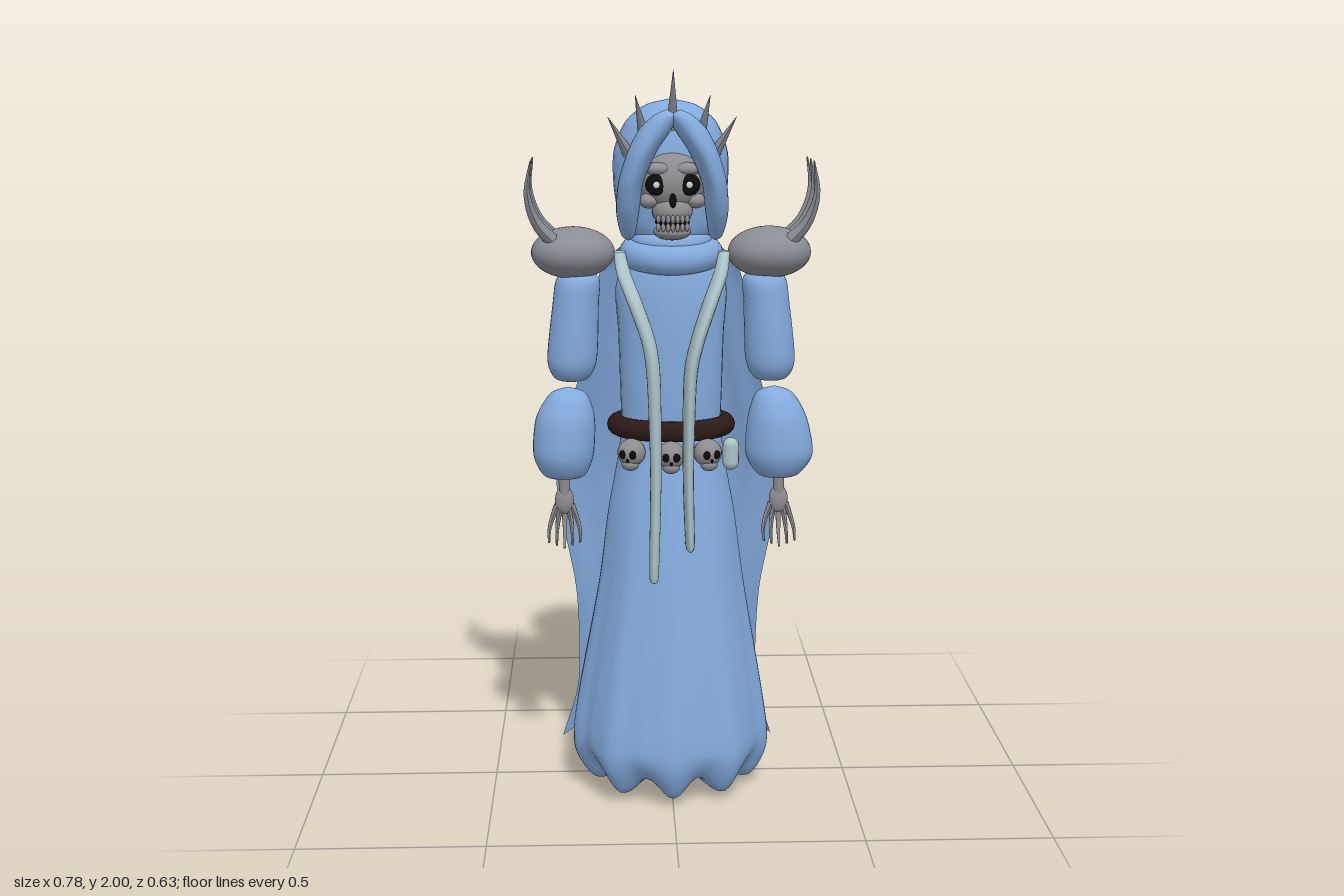
import * as THREE from 'three';

const V = (x, y, z) => new THREE.Vector3(x, y, z);
const mat = (name, color) => {
  const m = new THREE.MeshStandardMaterial({ color, side: THREE.DoubleSide });
  m.name = name;
  return m;
};

export function createModel() {
  const root = new THREE.Group();
  root.name = 'hoodedSkeletonMage';
  const cloth = mat('blueCloth', 0x84abde);
  const horn = mat('greyHorn', 0x8a8d95);
  const bone = mat('greyBone', 0x8f8d91);
  const leather = mat('darkLeather', 0x2c1b17);
  const pale = mat('paleTrim', 0xabc3c9);
  const black = mat('black', 0x0d0b0b);
  const glint = mat('eyeGlint', 0xcfd2d4);

  const add = (name, geo, m, parent = root) => {
    const mesh = new THREE.Mesh(geo, m);
    mesh.name = name;
    parent.add(mesh);
    return mesh;
  };

  const ball = (name, m, p, r, parent = root, seg = 24) => {
    const mesh = add(name, new THREE.SphereGeometry(1, seg, Math.ceil(seg * 0.67)), m, parent);
    mesh.position.set(...p);
    mesh.scale.set(...r);
    return mesh;
  };

  // Smooth body through elliptical rings [y, rx, rz, cx, cz], listed from the bottom up
  const loft = (name, m, rings, warp = null, seg = 32, steps = 6) => {
    const size = new THREE.CatmullRomCurve3(rings.map(r => V(r[1], r[0], r[2])), false, 'catmullrom', 0.4);
    const mid = new THREE.CatmullRomCurve3(rings.map(r => V(r[3], 0, r[4])), false, 'catmullrom', 0.4);
    const rows = (rings.length - 1) * steps, pos = [], idx = [];
    for (let j = 0; j <= rows; j++) {
      const s = size.getPoint(j / rows), c = mid.getPoint(j / rows);
      for (let i = 0; i < seg; i++) {
        const a = (i / seg) * Math.PI * 2;
        const [k, dy] = warp ? warp(a, s.y) : [1, 0];
        pos.push(c.x + Math.max(s.x, 0) * k * Math.sin(a), s.y + dy, c.z + Math.max(s.z, 0) * k * Math.cos(a));
        if (j < rows) {
          const p = j * seg + i, q = j * seg + (i + 1) % seg;
          idx.push(p, q, q + seg, p, q + seg, p + seg);
        }
      }
    }
    const g = new THREE.BufferGeometry();
    g.setAttribute('position', new THREE.Float32BufferAttribute(pos, 3));
    g.setIndex(idx);
    g.computeVertexNormals();
    return add(name, g, m);
  };

  // Tube that narrows from r0 to r1 along a curve
  const taper = (name, m, pts, r0, r1, parent = root, segs = 14, sides = 8) => {
    const curve = new THREE.CatmullRomCurve3(pts.map(p => V(...p)));
    const g = new THREE.TubeGeometry(curve, segs, 1, sides);
    const p = g.attributes.position, v = V(0, 0, 0);
    for (let i = 0; i < p.count; i++) {
      const t = Math.floor(i / (sides + 1)) / segs, c = curve.getPointAt(t);
      v.fromBufferAttribute(p, i).sub(c).multiplyScalar(r0 + (r1 - r0) * t).add(c);
      p.setXYZ(i, v.x, v.y, v.z);
    }
    g.computeVertexNormals();
    return add(name, g, m, parent);
  };

  // Skirt: squarer toward the ground, with folds that deepen toward a pointed hem
  loft('skirt', cloth, [
    [0.10, 0, 0, 0, 0.06], [0.06, 0.14, 0.13, 0, 0.06], [0.058, 0.215, 0.2, 0, 0.06],
    [0.14, 0.266, 0.243, -0.004, 0.06], [0.28, 0.254, 0.228, -0.004, 0.065], [0.6, 0.2, 0.179, 0, 0.072],
    [0.8, 0.174, 0.143, 0, 0.077], [0.95, 0.147, 0.115, 0, 0.077], [1.04, 0.135, 0.1, 0, 0.077],
  ], (a, y) => {
    const low = Math.max(0, 1 - y / 0.95), hem = Math.max(0, 1 - y / 0.2);
    const fold = 0.032 * Math.cos(9 * a) + 0.016 * Math.cos(4 * a + 1) + 0.01 * Math.cos(19 * a);
    const corner = 0.03 * Math.sin(2 * a) ** 2;
    return [1 + low * (fold + corner), -0.035 * hem * Math.cos(9 * a)];
  }, 108);

  // Torso
  loft('torso', cloth, [
    [0.98, 0.13, 0.09, 0, 0.075], [1.1, 0.137, 0.1, 0, 0.075], [1.3, 0.143, 0.105, 0, 0.075],
    [1.42, 0.15, 0.1, 0, 0.075], [1.5, 0.12, 0.085, 0, 0.075], [1.56, 0.06, 0.05, 0, 0.075],
  ]);

  // Collar rolls
  for (const [y, r, t] of [[1.515, 0.1, 0.04], [1.55, 0.08, 0.03]]) {
    const collar = add('collar', new THREE.TorusGeometry(r, t, 14, 36), cloth);
    collar.rotation.x = Math.PI / 2 + 0.12;
    collar.position.set(0, y, 0.075);
    collar.scale.y = 0.9;
  }

  // Hood with two bowed brims that meet at the top
  loft('hood', cloth, [
    [1.53, 0.085, 0.075, 0, 0.06], [1.59, 0.132, 0.11, 0, 0.05], [1.68, 0.152, 0.132, 0, 0.043],
    [1.78, 0.153, 0.132, 0, 0.043], [1.86, 0.122, 0.108, 0, 0.048], [1.905, 0.068, 0.062, 0, 0.052],
    [1.922, 0, 0, 0, 0.055],
  ]);
  for (const s of [1, -1]) {
    loft('hoodBrim', cloth, [
      [1.555, 0, 0, s * 0.115, 0.145], [1.57, 0.018, 0.03, s * 0.116, 0.148],
      [1.63, 0.03, 0.058, s * 0.117, 0.165], [1.71, 0.033, 0.07, s * 0.109, 0.187],
      [1.79, 0.038, 0.068, s * 0.08, 0.205], [1.85, 0.042, 0.053, s * 0.045, 0.218],
      [1.885, 0.028, 0.03, s * 0.022, 0.233], [1.9, 0, 0, s * 0.018, 0.236],
    ], null, 24);
  }

  // Crown spikes
  const spike = (base, tip) => taper('crownSpike', horn, [base, tip], 0.017, 0.0005, root, 3, 8);
  spike([0, 1.85, 0.165], [0, 2.0, 0.235]);
  for (const s of [1, -1]) {
    spike([s * 0.072, 1.82, 0.135], [s * 0.097, 1.935, 0.2]);
    spike([s * 0.11, 1.775, 0.115], [s * 0.168, 1.878, 0.155]);
  }

  // Face
  const face = new THREE.Group();
  face.name = 'skullFace';
  root.add(face);
  ball('cranium', bone, [0, 1.71, 0.14], [0.088, 0.085, 0.075], face, 32);
  ball('upperJaw', bone, [0, 1.635, 0.165], [0.054, 0.042, 0.05], face);
  ball('chin', bone, [0, 1.58, 0.165], [0.05, 0.022, 0.045], face);
  ball('mouth', black, [0, 1.606, 0.171], [0.046, 0.014, 0.046], face);
  ball('nose', black, [0, 1.665, 0.21], [0.009, 0.02, 0.008], face, 12);
  for (const s of [1, -1]) {
    ball('brow', bone, [s * 0.036, 1.745, 0.188], [0.036, 0.018, 0.024], face);
    ball('cheek', bone, [s * 0.062, 1.662, 0.172], [0.026, 0.02, 0.028], face);
    ball('eyeSocket', black, [s * 0.043, 1.706, 0.202], [0.029, 0.028, 0.012], face);
    ball('eyeGlint', glint, [s * 0.043, 1.706, 0.213], [0.009, 0.009, 0.004], face, 12);
  }
  for (const y of [1.617, 1.595]) {
    for (let i = -3; i <= 3; i++) {
      ball('tooth', bone, [i * 0.0125, y, 0.217 - 0.0022 * i * i], [0.0062, 0.0115, 0.006], face, 10);
    }
  }

  // Arms, pauldrons and hands
  for (const s of [1, -1]) {
    ball('pauldron', horn, [s * 0.263, 1.518, 0.09], [0.112, 0.069, 0.102], root, 32);
    for (const k of [-1, 0, 1]) {
      taper('pauldronHorn', horn, [
        [s * 0.3, 1.54, 0.09 + k * 0.05], [s * 0.355, 1.6, 0.09 + k * 0.062],
        [s * 0.38, 1.68, 0.093 + k * 0.078], [s * 0.37, 1.765, 0.093 + k * 0.085],
      ], 0.021, 0.002);
    }
    loft('upperArm', cloth, [
      [1.168, 0, 0, s * 0.27, 0.092], [1.178, 0.045, 0.045, s * 0.27, 0.092],
      [1.23, 0.067, 0.07, s * 0.268, 0.092], [1.38, 0.062, 0.07, s * 0.257, 0.09],
      [1.45, 0.056, 0.062, s * 0.25, 0.088], [1.49, 0, 0, s * 0.25, 0.088],
    ]);
    const wide = s > 0 ? 0.092 : 0.082;
    loft('sleeve', cloth, [
      [0.905, 0, 0, s * 0.292, 0.11], [0.912, 0.055, 0.05, s * 0.292, 0.11],
      [0.97, wide, 0.08, s * 0.294, 0.11], [1.07, 0.08, 0.077, s * 0.288, 0.108],
      [1.135, 0.05, 0.053, s * 0.28, 0.102], [1.155, 0, 0, s * 0.28, 0.1],
    ]);
    const hand = new THREE.Group();
    hand.name = 'hand';
    root.add(hand);
    taper('wrist', bone, [[s * 0.293, 0.93, 0.12], [s * 0.293, 0.85, 0.118]], 0.016, 0.014, hand, 4);
    ball('palm', bone, [s * 0.293, 0.842, 0.115], [0.026, 0.04, 0.018], hand, 16);
    for (let i = -2; i <= 2; i++) {
      const x = 0.293 + i * 0.01, tip = 0.293 + i * 0.021, drop = Math.abs(i) * 0.008;
      taper('finger', bone, [
        [s * x, 0.83, 0.115], [s * (x + i * 0.008), 0.785, 0.118],
        [s * tip, 0.745 + drop, 0.135], [s * tip, 0.718 + drop, 0.158],
      ], 0.009, 0.003, hand, 10, 7);
    }
  }

  // Stole: a broad band and a longer, narrower one standing out from the chest
  for (const [s, end, x, r] of [[1, 0.735, 0.045, 0.055], [-1, 0.655, 0.052, 0.027]]) {
    loft('stoleBand', pale, [
      [end, 0.006, r * 0.7, s * x, 0.285 - r], [end + 0.02, 0.013, r, s * x, 0.29 - r],
      [0.95, 0.015, r, s * x * 0.9, 0.291 - r], [1.2, 0.018, r, s * x, 0.292 - r],
      [1.3, 0.019, r, s * 0.065, 0.283 - r], [1.4, 0.02, r * 0.85, s * 0.1, 0.25 - r * 0.85],
      [1.47, 0.019, r * 0.65, s * 0.128, 0.2 - r * 0.65], [1.525, 0.015, 0.02, s * 0.14, 0.13],
    ], null, 20);
  }

  // Belt with hanging skulls and a flask
  const belt = add('belt', new THREE.TorusGeometry(0.147, 0.028, 14, 48), leather);
  belt.rotation.x = Math.PI / 2;
  belt.scale.y = 0.77;
  belt.position.set(0, 1.047, 0.077);
  for (const [x, z] of [[-0.11, 0.175], [-0.005, 0.215], [0.095, 0.185]]) {
    const skull = new THREE.Group();
    skull.name = 'beltSkull';
    skull.position.set(x, 0.988, z);
    skull.rotation.y = x * 3;
    root.add(skull);
    ball('cranium', bone, [0, 0, 0], [0.038, 0.038, 0.037], skull);
    ball('jaw', bone, [0, -0.03, 0.01], [0.024, 0.018, 0.022], skull, 16);
    ball('nose', black, [0, -0.016, 0.034], [0.004, 0.006, 0.004], skull, 10);
    for (const s of [1, -1]) ball('eye', black, [s * 0.014, 0, 0.033], [0.01, 0.012, 0.006], skull, 12);
  }
  const flask = add('flask', new THREE.CapsuleGeometry(0.022, 0.045, 8, 18), pale);
  flask.position.set(0.16, 0.975, 0.14);

  // Cape: half width, height and depth follow a curve; corners and middle of the hem hang lowest
  const drop = new THREE.CatmullRomCurve3([
    V(0.12, 1.54, -0.03), V(0.19, 1.46, -0.043), V(0.24, 1.2, -0.095), V(0.322, 0.87, -0.165),
    V(0.268, 0.5, -0.217), V(0.265, 0.2, -0.27), V(0.315, 0.005, -0.31),
  ], false, 'catmullrom', 0.4);
  const cape = new THREE.PlaneGeometry(2, 1, 64, 42);
  const cp = cape.attributes.position;
  for (let i = 0; i < cp.count; i++) {
    const u = -cp.getX(i), t = 0.5 - cp.getY(i), d = drop.getPoint(t);
    const hem = Math.max(0, (t - 0.8) / 0.2);
    const y = d.y + hem * (0.05 * Math.abs(Math.sin(u * Math.PI)) + 0.012 * Math.sin(u * 9) ** 2);
    const fold = 0.007 * t * (Math.cos(u * 11 + 0.6) + 0.6 * Math.sin(u * 23));
    cp.setXYZ(i, u * d.x, y, d.z + u * u * (0.06 - 0.03 * t) - fold);
  }
  cape.computeVertexNormals();
  add('cape', cape, cloth);

  return root;
}
